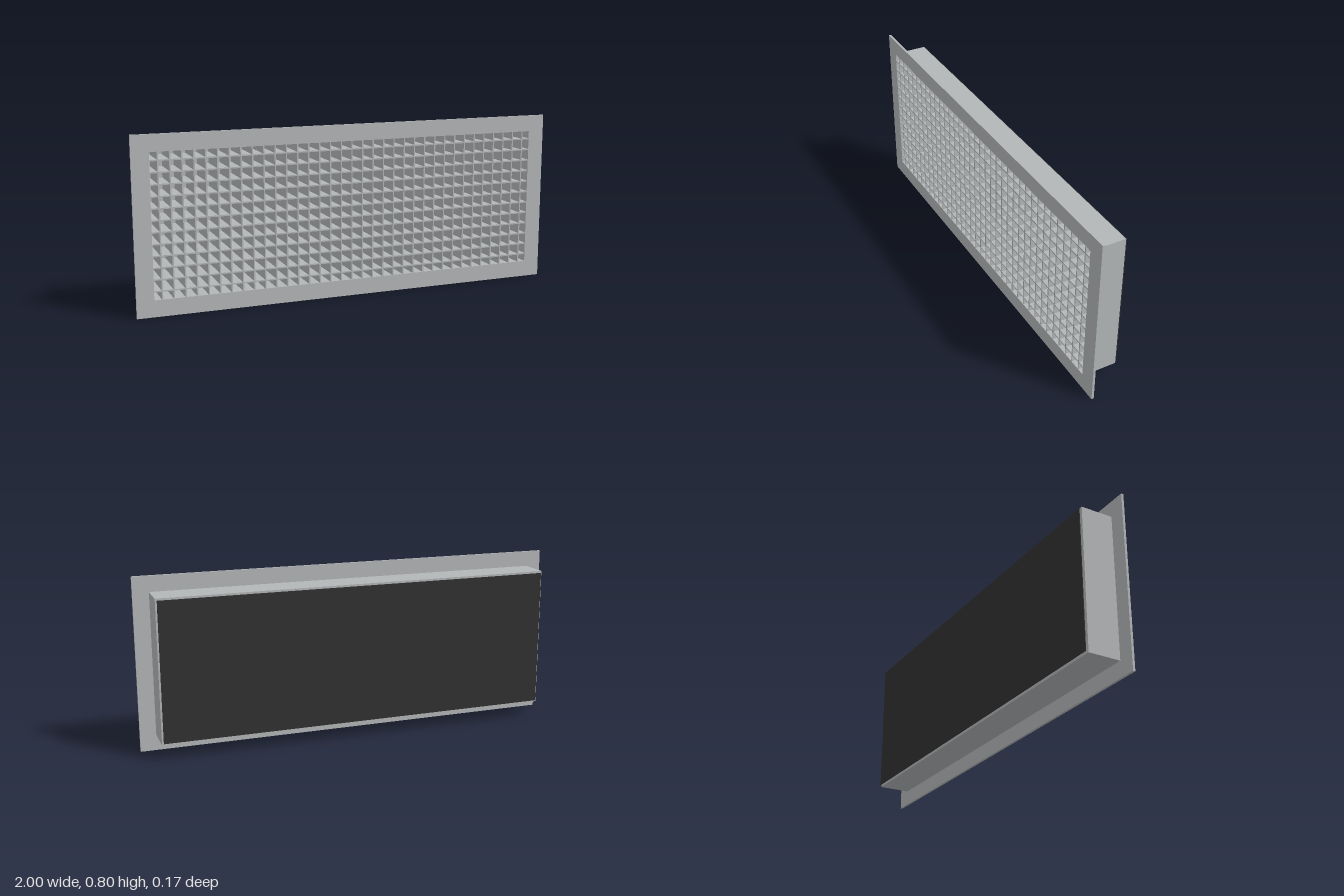
import * as THREE from 'three';

const MID = 0.4; // height of the grille's centre line

// Rectangular ring of given outer and inner half sizes, extruded from z0 to z1
function ring(outerX, outerY, innerX, innerY, z0, z1) {
  const rect = (Type, x, y) => {
    const p = new Type();
    p.moveTo(-x, -y).lineTo(x, -y).lineTo(x, y).lineTo(-x, y).closePath();
    return p;
  };
  const shape = rect(THREE.Shape, outerX, outerY);
  shape.holes.push(rect(THREE.Path, innerX, innerY));
  return new THREE.ExtrudeGeometry(shape, { depth: z1 - z0, bevelEnabled: false })
    .translate(0, MID, z0);
}

export function createModel() {
  const group = new THREE.Group();
  const metal = new THREE.MeshStandardMaterial({ color: 0xb4b7b8 });
  metal.name = 'greyMetal';
  const dark = new THREE.MeshStandardMaterial({ color: 0x323232 });
  dark.name = 'blackBacking';

  const add = (name, geometry, material, parent = group) => {
    const mesh = new THREE.Mesh(geometry, material);
    mesh.name = name;
    parent.add(mesh);
    return mesh;
  };

  // Front flange and the duct collar behind it
  const openX = 0.922, openY = 0.324;
  add('flange', ring(1, 0.4, openX, openY, 0.074, 0.085), metal);
  add('collar', ring(0.927, 0.328, openX, openY, -0.075, 0.074), metal);
  add('collarBack', new THREE.BoxGeometry(2 * openX, 2 * openY, 0.004)
    .translate(0, MID, -0.073), metal);

  // Egg-crate core of thin crossing slats
  const core = new THREE.Group();
  core.name = 'eggCrateCore';
  group.add(core);
  const pitch = 0.0521, thick = 0.006, front = 0.083, back = -0.071;
  const depth = front - back, midZ = (front + back) / 2;
  const columns = 35, rows = 12;
  const upright = new THREE.BoxGeometry(thick, 2 * openY, depth);
  for (let i = 0; i < columns; i++) {
    add('verticalSlat', upright, metal, core)
      .position.set((i - (columns - 1) / 2) * pitch, MID, midZ);
  }
  const crossbar = new THREE.BoxGeometry(2 * openX, thick, depth - 0.0004);
  for (let j = 0; j < rows; j++) {
    add('horizontalSlat', crossbar, metal, core)
      .position.set(0, MID + (j - (rows - 1) / 2) * pitch, midZ);
  }

  // Dark sheet standing just off the back of the collar
  add('backingSheet', new THREE.BoxGeometry(1.84, 0.64, 0.003)
    .translate(0, MID, -0.0825), dark);

  return group;
}
